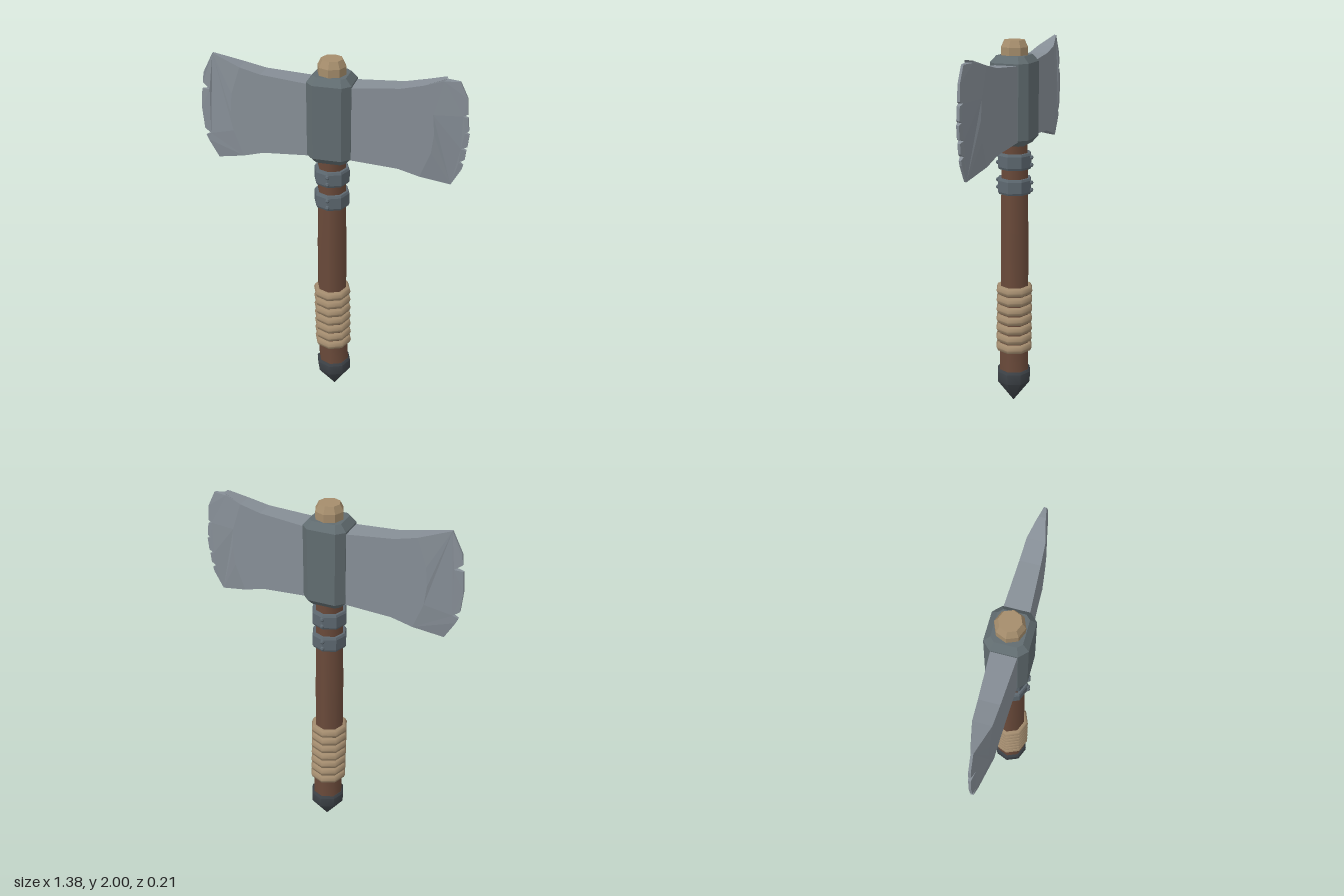
import * as THREE from 'three';
import { toCreasedNormals } from 'three/addons/utils/BufferGeometryUtils.js';

const material = (name, color) => {
  const m = new THREE.MeshStandardMaterial({ color });
  m.name = name;
  return m;
};

// Sideways drift of the slightly bent handle at height y
const bend = (y) => 0.016 * Math.pow(Math.max(0, 1 - y / 0.8), 1.4);

const flat = (g) => {
  const f = g.index ? g.toNonIndexed() : g;
  f.computeVertexNormals();
  return f;
};

// Eight-sided turned part that follows the handle's bend
function turned(profile, crease) {
  const g = new THREE.LatheGeometry(profile.map(([r, y]) => new THREE.Vector2(r, y)), 8);
  const p = g.attributes.position;
  for (let i = 0; i < p.count; i++) p.setX(i, p.getX(i) + bend(p.getY(i)));
  return crease ? toCreasedNormals(g, crease) : flat(g);
}

// Half thickness of a blade: slow taper, then a ground bevel to the cutting edge
function halfThickness(x, y) {
  const ax = Math.abs(x);
  const k = Math.pow((y - 1.68) / 0.27, 2);
  const start = 0.52 - 0.06 * k;
  const end = 0.69 - 0.08 * k;
  const body = 0.063 - 0.05 * (Math.min(ax, start) - 0.1);
  const s = THREE.MathUtils.clamp((ax - start) / (end - start), 0, 1);
  return THREE.MathUtils.lerp(body, 0.006, s);
}

function bladePiece(points) {
  const shape = new THREE.Shape(points.map(([x, y]) => new THREE.Vector2(x, y)));
  const g = new THREE.ExtrudeGeometry(shape, { depth: 1, bevelEnabled: false });
  const p = g.attributes.position;
  for (let i = 0; i < p.count; i++) {
    const t = halfThickness(p.getX(i), p.getY(i));
    p.setZ(i, p.getZ(i) > 0.5 ? t : -t);
  }
  return flat(g);
}

export function createModel() {
  const group = new THREE.Group();
  const steel = material('blade steel', 0x868e96);
  const iron = material('head iron', 0x616c70);
  const bandIron = material('band iron', 0x5d6870);
  const darkIron = material('pommel iron', 0x3b4045);
  const wood = material('handle wood', 0x6a4a3a);
  const cutWood = material('cut wood', 0xa58d6c);
  const cord = material('cord', 0xa18a6d);

  const add = (name, geometry, mat, parent = group) => {
    const mesh = new THREE.Mesh(geometry, mat);
    mesh.name = name;
    parent.add(mesh);
    return mesh;
  };

  // Handle, pale top end and pointed pommel
  add('handle', turned([[0.084, 0.18], [0.084, 0.32], [0.08, 0.7], [0.08, 0.95],
    [0.076, 1.2], [0.073, 1.5]], 0.9), wood);
  add('handleTop', turned([[0.073, 1.9], [0.073, 1.965], [0.055, 2], [0, 2]]), cutWood);
  add('pommel', turned([[0, 0], [0.095, 0.13], [0.097, 0.188], [0.087, 0.2], [0, 0.2]], 0.8), darkIron);

  // Cord rings of the grip
  const grip = new THREE.Group();
  grip.name = 'grip';
  group.add(grip);
  for (let i = 0; i < 7; i++) {
    const y = 0.335 + i * 0.0548;
    const g = new THREE.TorusGeometry(0.077, 0.0275, 8, 8);
    g.rotateX(Math.PI / 2);
    const ring = add('cordRing', toCreasedNormals(g, 0.9), cord, grip);
    ring.position.set(bend(y), y, 0);
  }

  // Two riveted bands under the head
  for (const y of [1.247, 1.381]) {
    const h = 0.042;
    add('band', turned([[0.07, y - h], [0.088, y - h], [0.094, y - h + 0.012],
      [0.094, y + h - 0.012], [0.088, y + h], [0.07, y + h]]), bandIron);
    for (const side of [-1, 1]) {
      for (const dy of [-0.02, 0.02]) {
        const rivet = add('rivet', flat(new THREE.SphereGeometry(0.012, 6, 4)), bandIron);
        rivet.position.set(0, y + dy, side * 0.094);
      }
    }
  }

  // Chamfered head block
  const w = 0.083, d = 0.075, c = 0.022;
  const foot = new THREE.Shape([[w, -d + c], [w, d - c], [w - c, d], [-w + c, d], [-w, d - c],
    [-w, -d + c], [-w + c, -d], [w - c, -d]].map(([x, y]) => new THREE.Vector2(x, y)));
  const block = new THREE.ExtrudeGeometry(foot, {
    depth: 0.387, bevelThickness: 0.034, bevelSize: 0.03, bevelSegments: 1,
  });
  block.rotateX(-Math.PI / 2);
  block.translate(0, 1.504, 0);
  add('headBlock', flat(block), iron);

  // Chipped cutting edges, listed from top to bottom
  const leftEdge = [[0.55, 1.955], [0.562, 1.958], [0.55, 1.946], [0.625, 1.945], [0.665, 1.865],
    [0.672, 1.785], [0.65, 1.775], [0.674, 1.765], [0.682, 1.7], [0.665, 1.69], [0.686, 1.68],
    [0.68, 1.615], [0.65, 1.605], [0.676, 1.595], [0.672, 1.545], [0.645, 1.53], [0.667, 1.515],
    [0.66, 1.49], [0.612, 1.402]];
  const rightEdge = [[0.613, 1.972], [0.668, 1.865], [0.675, 1.81], [0.637, 1.782], [0.681, 1.776],
    [0.69, 1.67], [0.681, 1.56], [0.648, 1.535], [0.676, 1.522], [0.665, 1.495], [0.612, 1.402]];
  const bevelLine = [[0.46, 1.925], [0.51, 1.78], [0.52, 1.68], [0.51, 1.58], [0.46, 1.445]];

  for (const [name, sign, edge] of [['left', 1, leftEdge], ['right', -1, rightEdge]]) {
    const side = (points) => points.map(([x, y]) => [x * sign, y]);
    const body = [[0.09, 1.5], [0.09, 1.88], [0.35, 1.9], ...bevelLine, [0.35, 1.477]];
    add(name + 'Blade', bladePiece(side(body)), steel);
    add(name + 'CuttingEdge', bladePiece(side([...edge, ...[...bevelLine].reverse()])), steel);
  }

  return group;
}
